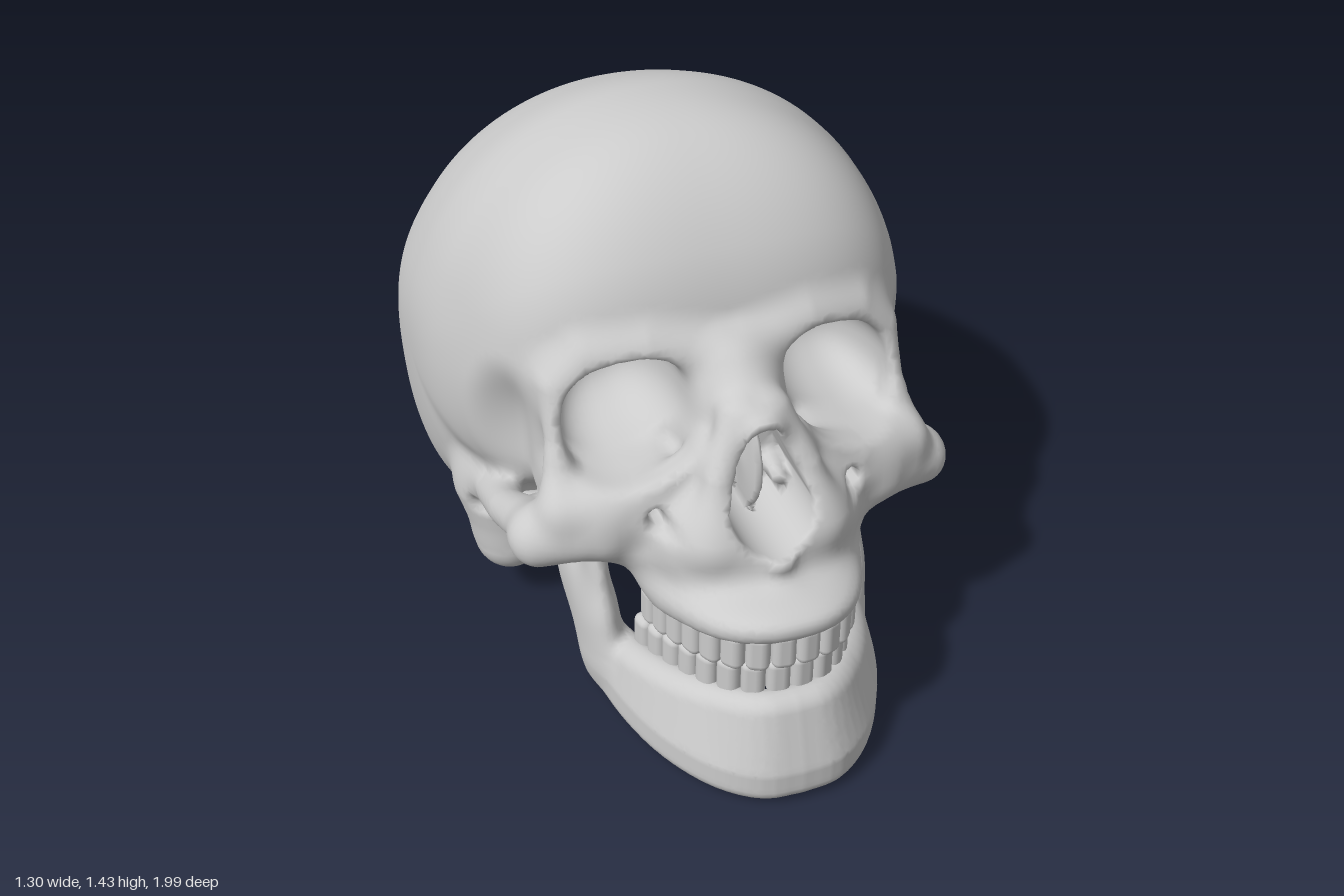
import * as THREE from 'three';
import { RoundedBoxGeometry } from 'three/addons/geometries/RoundedBoxGeometry.js';

const material = new THREE.MeshStandardMaterial({ color: 0xcccccc });
const { clamp, smoothstep } = THREE.MathUtils;

// ---- distance-field helpers: blended bone shapes ----
const join = (a, b, k = 0.06) => {
  const h = Math.max(k - Math.abs(a - b), 0) / k;
  return Math.min(a, b) - h * h * k / 4;
};
const carve = (a, cut, k = 0.025) => -join(-a, cut, k);
const blob = (x, y, z, [cx, cy, cz], [rx, ry, rz], p = 2) => {
  const dx = Math.abs(x - cx), dy = Math.abs(y - cy), dz = Math.abs(z - cz);
  const k = ((dx / rx) ** p + (dy / ry) ** p + (dz / rz) ** p) ** (1 / p);
  return k < 1e-4 ? -Math.min(rx, ry, rz) : Math.hypot(dx, dy, dz) * (1 - 1 / k);
};
const rod = (x, y, z, a, b) => {
  const ux = b[0] - a[0], uy = b[1] - a[1], uz = b[2] - a[2];
  const t = clamp(((x - a[0]) * ux + (y - a[1]) * uy + (z - a[2]) * uz) / (ux * ux + uy * uy + uz * uz), 0, 1);
  return Math.hypot(x - a[0] - t * ux, y - a[1] - t * uy, z - a[2] - t * uz) - a[3] - t * (b[3] - a[3]);
};
const chain = (x, y, z, pts) => {
  let d = 9;
  for (let i = 1; i < pts.length; i++) d = Math.min(d, rod(x, y, z, pts[i - 1], pts[i]));
  return d;
};

// Turns a distance field into a smooth mesh: one vertex per crossed cell, one quad per crossed edge
function sculpt(name, field, min, max, step) {
  const n = min.map((m, i) => Math.ceil((max[i] - m) / step) + 1);
  const stride = [1, n[0], n[0] * n[1]];
  const val = new Float32Array(n[0] * n[1] * n[2]);
  const at = (i, a) => min[a] + i * step;
  const each = (from, fn) => {
    for (let k = from; k < n[2] - 1; k++) for (let j = from; j < n[1] - 1; j++)
      for (let i = from; i < n[0] - 1; i++) fn(i, j, k, i + j * stride[1] + k * stride[2]);
  };
  val.fill(1);
  each(0, (i, j, k, id) => { val[id] = field(at(i, 0), at(j, 1), at(k, 2)); });
  const cell = new Int32Array(val.length).fill(-1), pos = [], nor = [], index = [];
  const corner = c => (c & 1) + (c >> 1 & 1) * stride[1] + (c >> 2) * stride[2];
  each(0, (i, j, k, id) => {
    const s = [0, 0, 0];
    let count = 0;
    for (let c = 0; c < 8; c++) for (let a = 0; a < 3; a++) {
      if (c >> a & 1) continue;
      const v0 = val[id + corner(c)], v1 = val[id + corner(c | 1 << a)];
      if ((v0 < 0) === (v1 < 0)) continue;
      for (let b = 0; b < 3; b++) s[b] += b === a ? v0 / (v0 - v1) : c >> b & 1;
      count++;
    }
    if (!count) return;
    const p = [i, j, k].map((q, a) => at(q + s[a] / count, a));
    const e = 0.004, [x, y, z] = p;
    const g = [field(x + e, y, z) - field(x - e, y, z), field(x, y + e, z) - field(x, y - e, z),
      field(x, y, z + e) - field(x, y, z - e)];
    const len = Math.hypot(...g) || 1;
    const move = clamp(field(x, y, z) * 2 * e / len, -step * 0.4, step * 0.4);
    cell[id] = pos.length / 3;
    pos.push(...p.map((q, a) => q - g[a] / len * move));
    nor.push(...g.map(q => q / len));
  });
  each(1, (i, j, k, id) => {
    for (let a = 0; a < 3; a++) {
      const inside = val[id] < 0;
      if (inside === (val[id + stride[a]] < 0)) continue;
      const b = stride[(a + 1) % 3], c = stride[(a + 2) % 3];
      const q = [cell[id], cell[id - b], cell[id - b - c], cell[id - c]];
      if (!inside) q.reverse();
      index.push(q[0], q[1], q[2], q[0], q[2], q[3]);
    }
  });
  const geo = new THREE.BufferGeometry();
  geo.setAttribute('position', new THREE.Float32BufferAttribute(pos, 3));
  geo.setAttribute('normal', new THREE.Float32BufferAttribute(nor, 3));
  geo.setIndex(index);
  const mesh = new THREE.Mesh(geo, material);
  mesh.name = name;
  return mesh;
}

// Braincase: side outline as radii every 20 degrees (from the front, over the top), rounded across x
const outline = [0.66, 0.735, 0.8, 0.807, 0.728, 0.65, 0.625, 0.643, 0.695, 0.738, 0.765, 0.766, 0.762,
  0.705, 0.63, 0.55, 0.50, 0.585];
function braincase(x, y, z) {
  const dy = y - 0.7, dz = z + 0.25, r = Math.hypot(dy, dz);
  const t = (Math.atan2(dy, dz) / (2 * Math.PI) + 1) % 1 * 18, i = Math.floor(t), f = t - i;
  const [a, b, c, d] = [17, 0, 1, 2].map(o => outline[(i + o) % 18]);
  const R = b + 0.5 * f * (c - a + f * (2 * a - 5 * b + 4 * c - d + f * (3 * (b - c) + d - a)));
  // squarer low down and at the temples
  const p = 2.05 + 0.75 * smoothstep(1 - y, 0, 0.75) + 0.75 * smoothstep(z, -0.05, 0.4) * smoothstep(y, 0.4, 0.85);
  const k = ((r / R) ** p + (x / 0.652) ** p) ** (1 / p);
  return k < 1e-4 ? -0.6 : Math.hypot(x, r) * (1 - 1 / k);
}

// Bone chains, each point x, y, z, radius (mirrored in x)
const bones = [
  [[0, 0.97, 0.45, 0.055], [0.2, 1.005, 0.41, 0.05], [0.34, 0.985, 0.375, 0.05], [0.415, 0.92, 0.375, 0.045],
    [0.43, 0.8, 0.42, 0.035], [0.445, 0.66, 0.48, 0.05]],                                     // brow and outer eye rim
  [[0.5, 0.57, 0.45, 0.06], [0.53, 0.505, 0.27, 0.05], [0.525, 0.45, 0.12, 0.05], [0.5, 0.43, -0.02, 0.07]], // cheek arch
  [[0.505, 0.56, 0.48, 0.065], [0.36, 0.60, 0.53, 0.08]],                                     // cheekbone
  [[0.44, 0.66, 0.51, 0.05], [0.28, 0.70, 0.565, 0.045], [0.13, 0.79, 0.57, 0.045]],          // lower eye rim
  [[0.05, 0.90, 0.60, 0.04], [0.11, 0.77, 0.66, 0.038], [0.135, 0.63, 0.7, 0.05]],            // nose side
  [[0, 0.93, 0.5, 0.05], [0, 0.885, 0.65, 0.045]],                                            // nose bridge
  [[0.37, 0.92, 0.30, 0.08], [0.37, 0.62, 0.31, 0.09]],                                       // temple wall
  [[0.48, 0.36, -0.03, 0.12], [0.465, 0.19, 0.0, 0.085]],                                     // bone behind the ear
  [[0.465, 0.2, -0.03, 0.08], [0.4, 0.18, -0.25, 0.12]],                                      // base behind the ear
  [[0.12, 0.55, 0.33, 0.06], [0.13, 0.4, 0.42, 0.035]],                                       // palate wing
  [[0.3, 0.57, 0.51, 0.08], [0.2, 0.46, 0.6, 0.05]],                                          // cheek buttress
  [[0, 0.58, 0.7, 0.06], [0, 0.605, 0.79, 0.022]],                                            // nose spine
];

function skullField(sx, y, z) {
  const x = Math.abs(sx);
  // braincase with the hollow of the temple
  let d = braincase(x, y, z);
  if (z < -0.45) return d;
  d = carve(d, blob(x, y, z, [0.58, 0.71, 0.3], [0.13, 0.19, 0.12]), 0.08);
  for (const b of bones) d = join(d, chain(x, y, z, b));
  // upper jaw, eye socket floor and the filling between the sockets
  d = join(d, blob(x, y, z, [0, 0.58, 0.52], [0.29, 0.18, 0.265], 2.3));
  d = join(d, blob(x, y + 0.22 * (0.93 - z), z, [0, 0.495, 0.59], [0.247, 0.08, 0.342], 2.3), 0.12);
  d = join(d, blob(x, y, z, [0.28, 0.65, 0.42], [0.17, 0.1, 0.18]));
  d = join(d, blob(x, y, z, [0, 0.82, 0.45], [0.14, 0.2, 0.14]));
  // eye sockets, nose opening and palate
  d = carve(d, blob(x, y + 0.2 * (x - 0.28), z, [0.275, 0.865, 0.48], [0.15, 0.128, 0.27], 2.4));
  const pear = rod(x, y, 0, [0, 0.862, 0, 0.042], [0, 0.712, 0, 0.105]);
  d = carve(d, Math.max(pear, 0.5 - z), 0.012);
  d = carve(d, blob(x, y, z, [0, 0.33, 0.58], [0.165, 0.11, 0.25]));
  // cheek, ear and spine openings
  d = carve(d, rod(x, y, z, [0.25, 0.665, 0.585, 0.018], [0.245, 0.655, 0.75, 0.024]));
  d = carve(d, rod(x, y, z, [0.54, 0.36, 0.06, 0.02], [0.7, 0.36, 0.06, 0.028]));
  d = carve(d, blob(x, y, z, [0, 0.07, -0.13], [0.09, 0.12, 0.1]));
  // plates inside the nose
  d = join(d, blob(x, y, z, [0, 0.74, 0.55], [0.016, 0.15, 0.11]), 0.01);
  return join(d, rod(x, y, z, [0.08, 0.68, 0.5, 0.03], [0.075, 0.68, 0.58, 0.02]), 0.02);
}

// Lower jaw: an upright band along an arch, a flat branch at the back and a hinge knob
const arc = half => new THREE.CatmullRomCurve3(half.map(([x, z]) => new THREE.Vector3(x, 0, z)));
const jawArch = arc([[0, 0.948], [0.085, 0.938], [0.17, 0.875], [0.25, 0.75], [0.3, 0.6], [0.328, 0.42]])
  .getPoints(20).map(p => [p.x, 0, p.z, 0]);
const branch = [
  [[0.745, 0.13, 0.42, 0.1], [0.76, 0.44, 0.39, 0.06]],
  [[0.745, 0.12, 0.39, 0.1], [0.83, 0.35, 0.155, 0.055]],
  [[0.75, 0.22, 0.39, 0.11], [0.77, 0.28, 0.31, 0.11]],
];
function jawField(sx, y, z) {
  const x = Math.abs(sx), r = 0.045, lift = Math.max(0, y - 0.1);
  const flat = chain(x + 0.2 * lift * Math.min(1, x * 5), 0, z + 0.3 * lift, jawArch);
  const top = 0.295 - 0.21 * (0.93 - z) - r;
  let d = Math.hypot(flat, y - clamp(y, r, Math.max(top, r))) - r;
  for (const b of branch) d = join(d, rod(x * 2.2, y, z, ...b), 0.05);
  return join(d, rod(x, y, z, [0.35, 0.38, 0.13, 0.03], [0.44, 0.38, 0.12, 0.036]), 0.04);
}

// A row of sixteen teeth along an arch, following the sloping bite line
function teeth(name, half, side) {
  const group = new THREE.Group();
  group.name = name;
  const arch = arc([...half.slice(1).reverse().map(([x, z]) => [-x, z]), ...half]);
  const width = arch.getLength() / 16;
  for (let i = 0; i < 16; i++) {
    const u = (i + 0.5) / 16, p = arch.getPointAt(u), t = arch.getTangentAt(u);
    const back = Math.abs(u - 0.5) * 2;
    const geo = new RoundedBoxGeometry(width * 0.99, 0.11, 0.045 + 0.03 * back, 2, 0.021);
    const tooth = new THREE.Mesh(geo, material);
    tooth.name = 'tooth';
    tooth.position.set(p.x, 0.385 - 0.24 * (0.93 - p.z) + side * 0.052, p.z);
    tooth.rotation.y = Math.atan2(-t.z, t.x);
    group.add(tooth);
  }
  return group;
}

export function createModel() {
  const model = new THREE.Group();
  model.name = 'skull';
  model.add(
    sculpt('craniumAndFace', skullField, [-0.711, -0.04, -1.04], [0.711, 1.48, 0.98], 0.018),
    sculpt('lowerJaw', jawField, [-0.51, -0.04, 0.04], [0.51, 0.56, 1.05], 0.015),
    teeth('upperTeeth', [[0, 0.9], [0.1, 0.875], [0.165, 0.8], [0.205, 0.7], [0.228, 0.6], [0.235, 0.53]], 1),
    teeth('lowerTeeth', [[0, 0.872], [0.09, 0.85], [0.155, 0.785], [0.2, 0.69], [0.235, 0.58], [0.25, 0.51]], -1),
  );
  return model;
}
